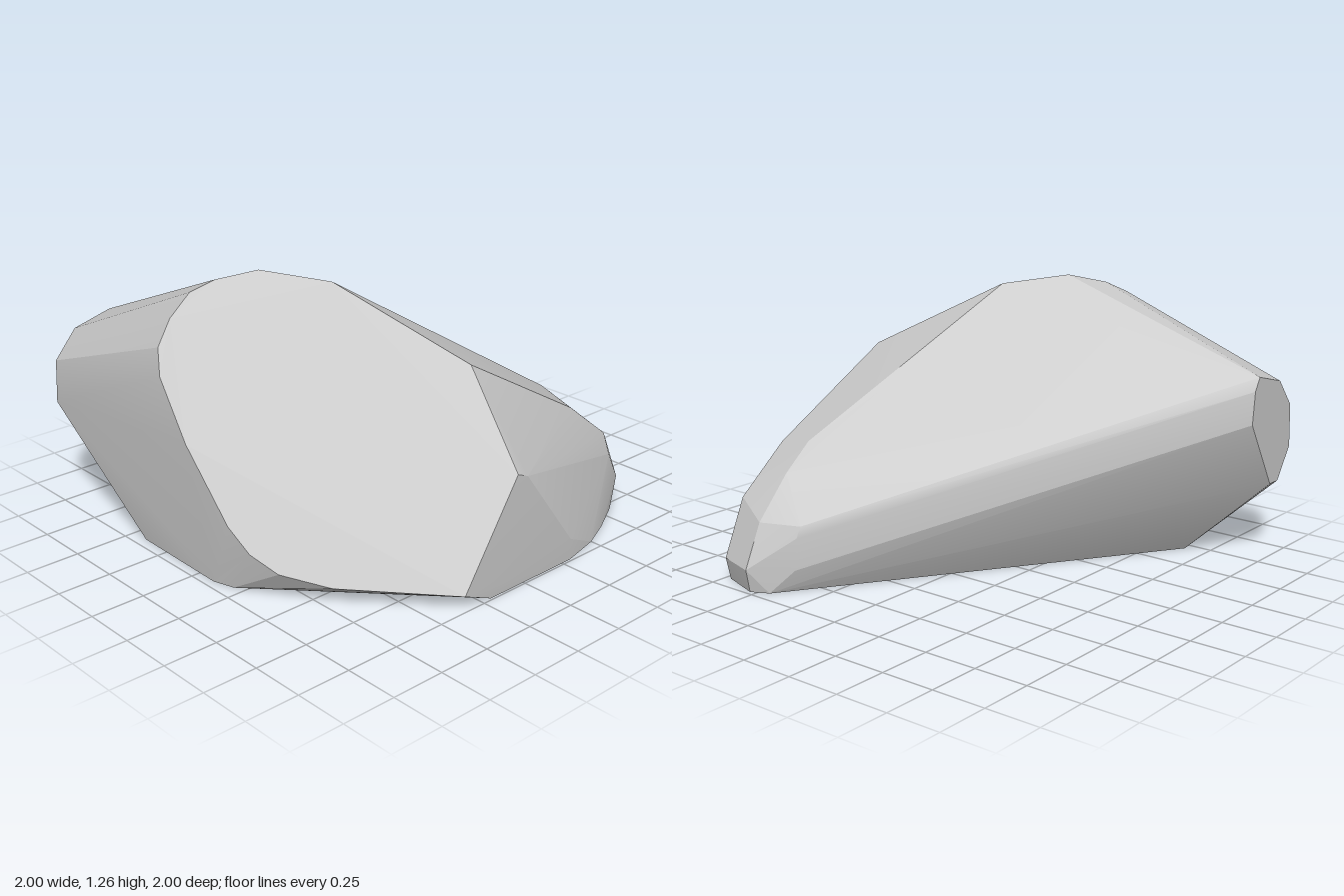
import * as THREE from 'three';
import { ConvexGeometry } from 'three/addons/geometries/ConvexGeometry.js';
import { toCreasedNormals } from 'three/addons/utils/BufferGeometryUtils.js';

export function createModel() {
  const group = new THREE.Group();
  group.name = 'boulder';
  const stone = new THREE.MeshStandardMaterial({ color: 0xc7c7c7 });
  stone.name = 'stone grey';

  const points = [];
  const add = (list, place) => list.forEach((p) => points.push(new THREE.Vector3(...place(p))));

  // large slanted cut: outline in x, y; z follows the cutting plane
  add([
    [-0.56, 1.26], [-0.36, 1.22], [-0.06, 0.92], [-0.06, 0.52], [-0.36, 0.07], [-0.73, 0.085],
    [-0.87, 0.13], [-0.93, 0.2], [-0.96, 0.3], [-0.985, 0.6], [-0.98, 0.85], [-0.95, 0.96],
    [-0.88, 1.07], [-0.79, 1.17], [-0.7, 1.22],
  ], ([x, y]) => [x, y, 1.416 + 1.033 * x - 0.7 * y]);

  // small flat end at the back
  add([
    [-0.69, 0.88], [-0.88, 0.83], [-0.99, 0.7], [-1, 0.5], [-0.9, 0.355], [-0.83, 0.355],
    [-0.64, 0.67], [-0.655, 0.82],
  ], ([x, y]) => [x, y, -1]);

  // flat base: outline in x, z
  add([
    [-0.7, -0.64], [-0.89, -0.58], [-0.95, -0.41], [-0.96, 0.1], [-0.93, 0.2], [-0.2, 0.99],
    [0.3, 0.99], [0.5, 0.945], [0.65, 0.88], [0.82, 0.79], [0.92, 0.72], [0.98, 0.53], [0.94, 0.45],
  ], ([x, z]) => [x, 0, z]);

  // rounded nose
  add([
    [0, 0.495, 0.99], [0.3, 0.1, 0.99], [0.57, 0.56, 0.73], [0.6, 0.6, 0.53], [0.52, 0.49, 0.775],
    [0.74, 0.485, 0.53], [0.83, 0.36, 0.72], [0.91, 0.3, 0.53], [0.84, 0.3, 0.35], [0.86, 0.25, 0.355],
    [0.82, 0.27, 0.765], [1, 0.105, 0.53], [0.945, 0.105, 0.72], [0.87, 0.105, 0.36],
  ], (p) => p);

  const rock = new THREE.Mesh(toCreasedNormals(new ConvexGeometry(points), 0.25), stone);
  rock.name = 'rock';
  group.add(rock);
  return group;
}
